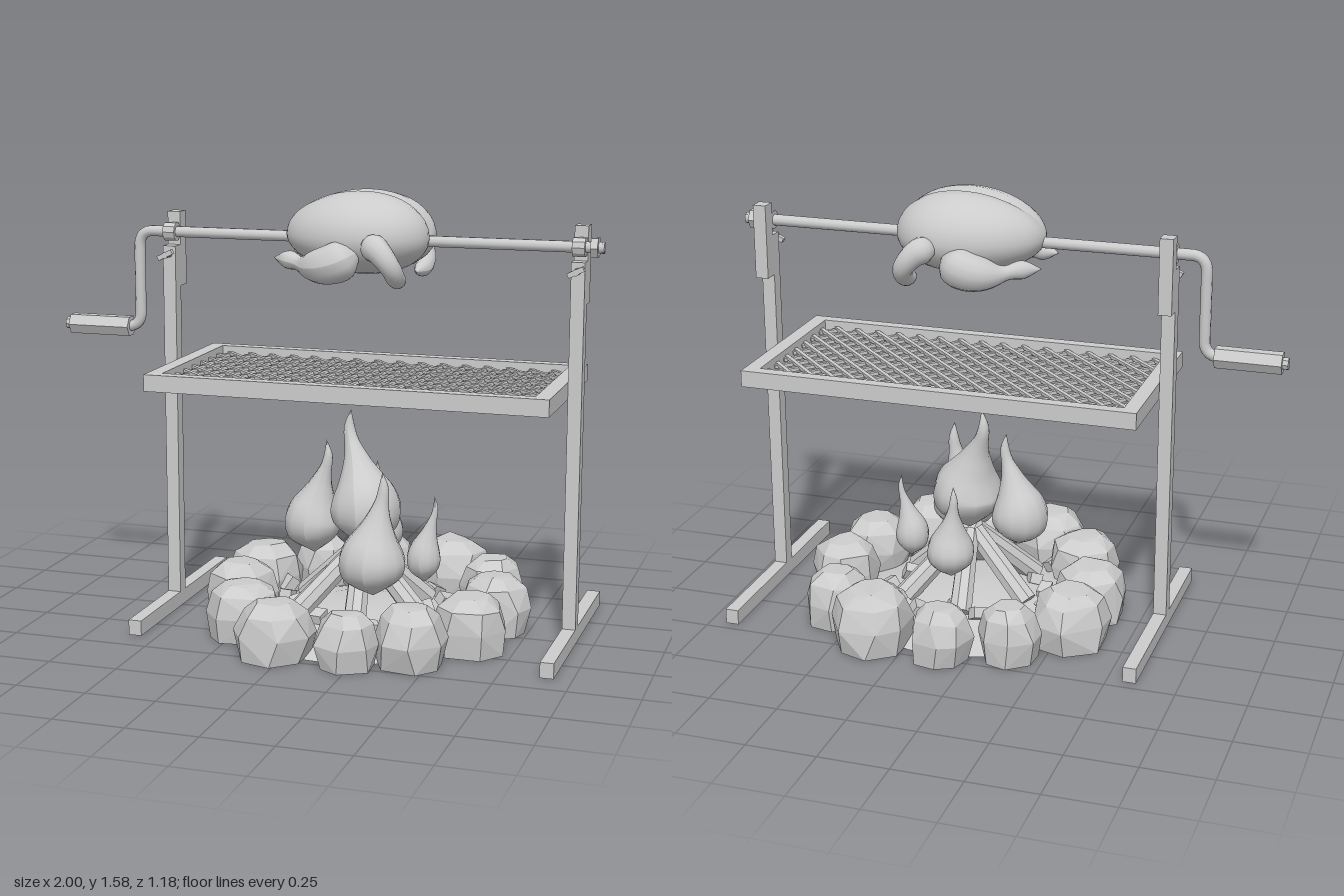
import * as THREE from 'three';
import { ConvexGeometry } from 'three/addons/geometries/ConvexGeometry.js';

const V = (x, y, z) => new THREE.Vector3(x, y, z);
const smooth = new THREE.MeshStandardMaterial({ color: 0xcccccc });
const flat = new THREE.MeshStandardMaterial({ color: 0xcccccc, flatShading: true });
const thin = new THREE.MeshStandardMaterial({ color: 0xcccccc, side: THREE.DoubleSide });

function add(parent, name, geometry, material = smooth) {
  const mesh = new THREE.Mesh(geometry, material);
  mesh.name = name;
  parent.add(mesh);
  return mesh;
}

// Box given by its extents on each axis
function box(parent, name, [x0, x1], [y0, y1], [z0, z1]) {
  const mesh = add(parent, name, new THREE.BoxGeometry(x1 - x0, y1 - y0, z1 - z0), flat);
  mesh.position.set((x0 + x1) / 2, (y0 + y1) / 2, (z0 + z1) / 2);
  return mesh;
}

// Cylinder running from a to b
function bar(parent, name, a, b, r0, r1 = r0, sides = 8, material = flat) {
  const mesh = add(parent, name, new THREE.CylinderGeometry(r1, r0, a.distanceTo(b), sides), material);
  mesh.position.copy(a).lerp(b, 0.5);
  mesh.quaternion.setFromUnitVectors(V(0, 1, 0), b.clone().sub(a).normalize());
  return mesh;
}

// Tube along a curve with a radius that follows a smooth list of values
function taperTube(parent, name, points, radii, sides = 14, n = 24) {
  const curve = new THREE.CatmullRomCurve3(points);
  const radius = new THREE.CatmullRomCurve3(radii.map((r, i) => V(r, i, 0)));
  const geo = new THREE.TubeGeometry(curve, n, 1, sides);
  const pos = geo.attributes.position, p = V(0, 0, 0);
  for (let i = 0; i <= n; i++) {
    const c = curve.getPointAt(i / n), r = Math.max(0, radius.getPoint(i / n).x);
    for (let j = 0; j <= sides; j++) {
      const k = i * (sides + 1) + j;
      p.fromBufferAttribute(pos, k).sub(c).multiplyScalar(r).add(c);
      pos.setXYZ(k, p.x, p.y, p.z);
    }
  }
  geo.computeVertexNormals();
  return add(parent, name, geo);
}

let seed = 7;
const rnd = () => (seed = (seed * 16807) % 2147483647) / 2147483647;

// Upright with foot, rod bracket and wing screw
function makeStand(x) {
  const g = new THREE.Group();
  g.name = 'stand';
  const w = [x - 0.024, x + 0.024];
  box(g, 'post', w, [0.005, 1.36], [-0.025, 0.025]);
  box(g, 'foot', w, [0.005, 0.06], [-0.465, 0.4]);
  box(g, 'bracket', w, [1.21, 1.48], [-0.08, -0.025]);
  bar(g, 'rodCollar', V(x - 0.022, 1.41, 0), V(x + 0.022, 1.41, 0), 0.034, 0.034, 10);
  bar(g, 'screw', V(x, 1.33, 0.02), V(x, 1.33, 0.07), 0.012);
  const wing = box(g, 'screwWing', [x - 0.03, x + 0.03], [1.322, 1.34], [0.05, 0.07]);
  wing.rotation.z = 0.45;
  return g;
}

// Rod, bent crank, handle and end nut
function makeSpit() {
  const g = new THREE.Group();
  g.name = 'spit';
  const path = new THREE.CurvePath();
  const corners = [V(1, 1.41, 0), V(-0.65, 1.41, 0), V(-0.705, 1.41, 0), V(-0.705, 1.35, 0),
    V(-0.705, 1.11, 0), V(-0.705, 1.055, 0), V(-0.76, 1.055, 0)];
  path.add(new THREE.LineCurve3(corners[0], corners[1]));
  path.add(new THREE.QuadraticBezierCurve3(corners[1], corners[2], corners[3]));
  path.add(new THREE.LineCurve3(corners[3], corners[4]));
  path.add(new THREE.QuadraticBezierCurve3(corners[4], corners[5], corners[6]));
  add(g, 'crankRod', new THREE.TubeGeometry(path, 160, 0.02, 10));
  bar(g, 'rodEnd', V(0.99, 1.41, 0), V(1, 1.41, 0), 0.02);
  bar(g, 'handle', V(-0.98, 1.055, 0), V(-0.745, 1.055, 0), 0.04, 0.04, 6);
  bar(g, 'handleCap', V(-1, 1.055, 0), V(-0.98, 1.055, 0), 0.022);
  bar(g, 'endNut', V(0.955, 1.41, 0), V(0.98, 1.41, 0), 0.038, 0.038, 6);
  return g;
}

// Framed grate with a diagonal lattice
function makeGrate() {
  const g = new THREE.Group();
  g.name = 'grate';
  const y = [0.885, 0.945], [x0, x1, z0, z1] = [-0.5, 0.835, -0.298, 0.298];
  for (const z of [[-0.343, z0], [z1, 0.343]]) box(g, 'frameLong', [-0.554, 0.89], y, z);
  for (const x of [[-0.554, x0], [x1, 0.89]]) box(g, 'frameShort', x, y, [z0, z1]);
  for (const s of [1, -1]) {
    for (let c = x0 - 0.3 + 0.045; c < x1 + 0.3; c += 0.083) {
      // line x = c + s * z, clipped to the opening
      const zs = [(x0 - c) / s, (x1 - c) / s].sort((a, b) => a - b);
      const a = Math.max(z0, zs[0]), b = Math.min(z1, zs[1]);
      if (b - a < 0.01) continue;
      const m = add(g, 'latticeBar', new THREE.BoxGeometry(0.015, 0.012, (b - a) * Math.SQRT2), flat);
      m.position.set(c + s * (a + b) / 2, 0.915 + s * 0.003, (a + b) / 2);
      m.rotation.y = s * Math.PI / 4;
    }
  }
  return g;
}

function makeBird() {
  const g = new THREE.Group();
  g.name = 'roastBird';
  // Body: sphere with a breast cleft, narrower towards the tail
  const geo = new THREE.SphereGeometry(1, 32, 24).rotateZ(-Math.PI / 2);
  const pos = geo.attributes.position;
  for (let i = 0; i < pos.count; i++) {
    const u = pos.getX(i), v = pos.getY(i), w = pos.getZ(i);
    const cleft = Math.exp(-((w / 0.13) ** 2)) * 0.022;
    const lift = v > 0 ? 0.162 * v - cleft * v : 0.135 * v;
    const x = 0.137 + 0.268 * u - (u > 0.5 ? cleft * (u - 0.5) * 2 : 0);
    pos.setXYZ(i, x, 1.425 + lift * (1 + 0.08 * u), w * 0.212 * (1 + 0.12 * u));
  }
  geo.computeVertexNormals();
  add(g, 'body', geo);
  for (const s of [1, -1]) {
    taperTube(g, 'drumstick',
      [V(0.19, 1.39, s * 0.17), V(0.1, 1.345, s * 0.2), V(0, 1.33, s * 0.175), V(-0.08, 1.342, s * 0.13), V(-0.15, 1.345, s * 0.105)],
      [0, 0.066, 0.068, 0.053, 0.026, 0.032, 0]);
    taperTube(g, 'wing',
      [V(0.2, 1.41, s * 0.17), V(0.26, 1.4, s * 0.222), V(0.31, 1.345, s * 0.232), V(0.32, 1.3, s * 0.19), V(0.31, 1.285, s * 0.1)],
      [0, 0.045, 0.042, 0.036, 0.033, 0.027, 0]);
  }
  return g;
}

// Faceted boulder with a flat underside
function makeStone(parent, [x, z, r, h]) {
  const points = [], turn = rnd() * 6;
  for (const [y, k] of [[0, 0.92], [0.45, 1.03], [0.82, 0.86], [1, 0.5]]) {
    for (let i = 0; i < 7; i++) {
      const a = turn + (i + (rnd() - 0.5) * 0.35) / 7 * Math.PI * 2;
      const d = r * k * (0.94 + rnd() * 0.14);
      points.push(V(Math.cos(a) * d, y === 0 ? 0 : h * y * (0.96 + rnd() * 0.06), Math.sin(a) * d));
    }
  }
  add(parent, 'stone', new ConvexGeometry(points), flat).position.set(x, 0.003, z);
}

function makeFire() {
  const g = new THREE.Group();
  g.name = 'campfire';
  const stones = [[-0.125, -0.4, 0.11, 0.2], [0.1, -0.48, 0.11, 0.2], [0.37, -0.45, 0.145, 0.22],
    [0.56, -0.31, 0.115, 0.2], [0.63, -0.06, 0.125, 0.21], [0.6, 0.19, 0.13, 0.2], [0.44, 0.4, 0.125, 0.21],
    [0.235, 0.475, 0.11, 0.19], [-0.03, 0.455, 0.135, 0.2], [-0.215, 0.27, 0.135, 0.2],
    [-0.31, 0.02, 0.135, 0.2], [-0.3, -0.22, 0.14, 0.21]];
  stones.forEach(s => makeStone(g, s));

  // Shallow mound of ash, hollow underneath
  const ash = [[0, 0.085], [0.15, 0.08], [0.3, 0.05], [0.4, 0.02], [0.47, 0]].map(p => new THREE.Vector2(...p)).reverse();
  add(g, 'ashBed', new THREE.LatheGeometry(ash, 32), thin).position.set(0.14, 0.003, 0);

  // Leaning logs and scattered embers
  for (let i = 0; i < 6; i++) {
    const a = i / 6 * Math.PI * 2 + 0.35, c = Math.cos(a), s = Math.sin(a);
    bar(g, 'log', V(0.15 + 0.26 * c, 0.07, 0.26 * s), V(0.15 + 0.02 * c, 0.29, 0.02 * s), 0.042, 0.036, 8);
  }
  for (let i = 0; i < 16; i++) {
    const a = i / 16 * Math.PI * 2, d = 0.22 + 0.13 * rnd();
    const ember = add(g, 'ember', new THREE.BoxGeometry(0.06, 0.04, 0.045), flat);
    ember.position.set(0.14 + d * Math.cos(a), 0.08, d * Math.sin(a));
    ember.rotation.set(rnd(), rnd() * 6, rnd());
  }

  // Flames: [bulb x, z, bottom y, tip x, z, y, radius]
  const flames = [[0.16, 0.005, 0.3, 0.08, -0.055, 0.785, 0.13], [-0.04, 0, 0.255, 0.02, 0.01, 0.68, 0.105],
    [0.25, 0.22, 0.18, 0.285, 0.205, 0.625, 0.12], [0.15, -0.225, 0.2, 0.13, -0.245, 0.555, 0.086],
    [0.37, -0.03, 0.17, 0.41, -0.035, 0.49, 0.062]];
  for (const [x, z, y, tx, tz, ty, r] of flames) {
    const at = (t, k) => V(x + (tx - x) * k, y + (ty - y) * t, z + (tz - z) * k);
    taperTube(g, 'flame', [at(0, 0.1), at(0.3, 0), at(0.6, 0.5), at(0.85, 1), at(1, 0.9)],
      [0, 0.78 * r, r, 0.9 * r, 0.62 * r, 0.38 * r, 0.22 * r, 0.15 * r, 0], 12);
  }
  return g;
}

export function createModel() {
  const model = new THREE.Group();
  model.name = 'campfireRotisserie';
  model.add(makeStand(-0.58), makeStand(0.914), makeSpit(), makeGrate(), makeBird(), makeFire());
  return model;
}
